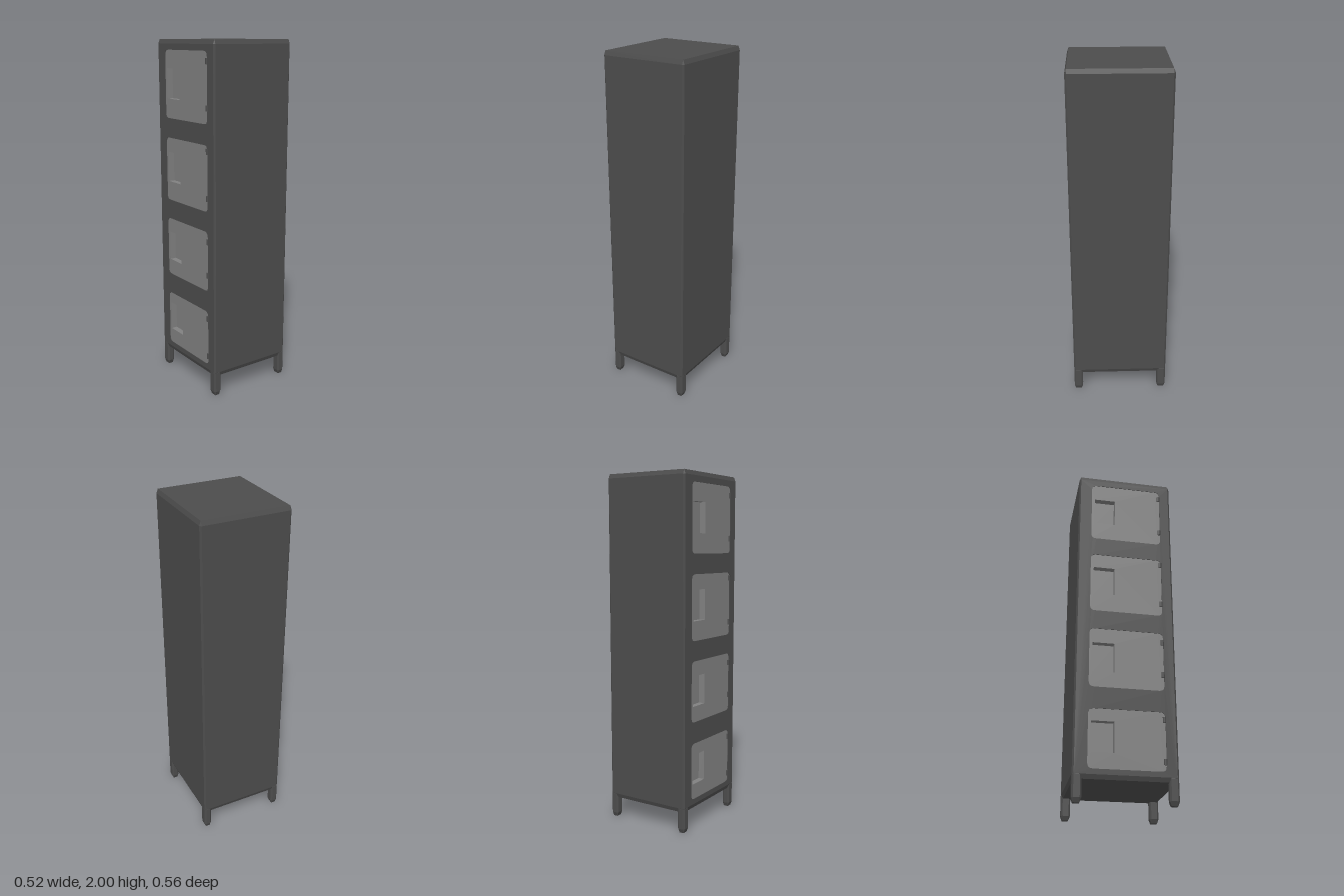
import * as THREE from 'three';
import { ConvexGeometry } from 'three/addons/geometries/ConvexGeometry.js';

const X0 = -0.256, X1 = 0.259, Z = 0.28, Y0 = 0.12, Y1 = 2;
const C = 0.009, CY = 0.024; // chamfer across and up

// Box with chamfered edges, as the hull of three points per corner
function chamferBox(x0, x1, y0, y1, z0, z1) {
  const pts = [];
  for (const [x, sx] of [[x0, 1], [x1, -1]])
    for (const [y, sy] of [[y0, 1], [y1, -1]])
      for (const [z, sz] of [[z0, 1], [z1, -1]]) {
        const ix = x + sx * C, iy = y + sy * CY, iz = z + sz * C;
        pts.push(new THREE.Vector3(x, iy, iz), new THREE.Vector3(ix, y, iz), new THREE.Vector3(ix, iy, z));
      }
  return new ConvexGeometry(pts);
}

// Removes the -x face so the door frame can take its place
function openDoorSide(geo) {
  const p = geo.attributes.position, n = geo.attributes.normal, pos = [], nor = [];
  for (let i = 0; i < p.count; i += 3) {
    if (n.getX(i) < -0.99) continue;
    for (let k = i; k < i + 3; k++) {
      pos.push(p.getX(k), p.getY(k), p.getZ(k));
      nor.push(n.getX(k), n.getY(k), n.getZ(k));
    }
  }
  const out = new THREE.BufferGeometry();
  out.setAttribute('position', new THREE.Float32BufferAttribute(pos, 3));
  out.setAttribute('normal', new THREE.Float32BufferAttribute(nor, 3));
  return out;
}

// Rectangle in (z, y) with rounded corners
function roundRect(path, z0, z1, y0, y1, r) {
  path.moveTo(z0 + r, y0);
  path.lineTo(z1 - r, y0);
  path.quadraticCurveTo(z1, y0, z1, y0 + r);
  path.lineTo(z1, y1 - r);
  path.quadraticCurveTo(z1, y1, z1 - r, y1);
  path.lineTo(z0 + r, y1);
  path.quadraticCurveTo(z0, y1, z0, y1 - r);
  path.lineTo(z0, y0 + r);
  path.quadraticCurveTo(z0, y0, z0 + r, y0);
  return path;
}

function rect(path, z0, z1, y0, y1) {
  path.moveTo(z0, y0);
  path.lineTo(z1, y0);
  path.lineTo(z1, y1);
  path.lineTo(z0, y1);
  path.closePath();
  return path;
}

// Slab whose outer face looks towards -x at the given x
function slab(shape, depth, faceX) {
  return new THREE.ExtrudeGeometry(shape, { depth, bevelEnabled: false, curveSegments: 4 })
    .rotateY(-Math.PI / 2).translate(faceX + depth, 0, 0);
}

export function createModel() {
  const group = new THREE.Group();
  const darkMetal = new THREE.MeshStandardMaterial({ color: 0x4c4c4c });
  darkMetal.name = 'darkMetal';
  const doorMetal = new THREE.MeshStandardMaterial({ color: 0x808080 });
  doorMetal.name = 'doorMetal';
  const add = (name, geo, mat, parent = group) => {
    const m = new THREE.Mesh(geo, mat);
    m.name = name;
    parent.add(m);
    return m;
  };

  // Cabinet and its four legs
  add('cabinet', openDoorSide(chamferBox(X0, X1, Y0, Y1, -Z, Z)), darkMetal);
  for (const front of [true, false])
    for (const left of [true, false]) {
      const [x0, x1] = left ? [0.215, X1] : [X0, -0.212];
      const [z0, z1] = front ? [0.228, Z] : [-Z, -0.228];
      add((front ? 'front' : 'back') + (left ? 'Left' : 'Right') + 'Leg',
        chamferBox(x0, x1, 0, 0.165, z0, z1), darkMetal);
    }

  // Doors from the top down: bottom, top, pocket bottom, pocket top, hinge heights
  const doors = [
    [1.56, 1.942, 1.67, 1.84, 1.645, 1.89],
    [1.08, 1.448, 1.19, 1.363, 1.155, 1.415],
    [0.62, 0.967, 0.71, 0.882, 0.715, 0.91],
    [0.173, 0.498, 0.26, 0.43, 0.225, 0.455],
  ];
  const frame = rect(new THREE.Shape(), -Z + C, Z - C, Y0 + CY, Y1 - CY);
  const zBack = -0.203, zFront = 0.215, pocketBack = -0.185, pocketFront = -0.062;

  doors.forEach(([y0, y1, p0, p1, ...hinges], i) => {
    frame.holes.push(roundRect(new THREE.Path(), zBack, zFront, y0, y1, 0.03));
    const door = new THREE.Group();
    door.name = 'door' + (i + 1);
    group.add(door);

    // Door panel with a recessed hand pull
    const panel = roundRect(new THREE.Shape(), zBack, zFront, y0, y1, 0.03);
    panel.holes.push(rect(new THREE.Path(), pocketBack, pocketFront, p0, p1));
    add('doorPanel', slab(panel, 0.036, X0 + 0.003), doorMetal, door);
    const back = new THREE.BoxGeometry(0.004, p1 - p0 + 0.02, pocketFront - pocketBack + 0.02);
    add('handlePocket', back, doorMetal, door)
      .position.set(X0 + 0.04, (p0 + p1) / 2, (pocketBack + pocketFront) / 2);

    // Hinge knuckles
    for (const y of hinges)
      add('hinge', new THREE.CylinderGeometry(0.01, 0.01, 0.032, 10), darkMetal, door)
        .position.set(X0 + 0.005, y, 0.21);
  });
  add('doorFrame', slab(frame, 0.02, X0), darkMetal);

  return group;
}
